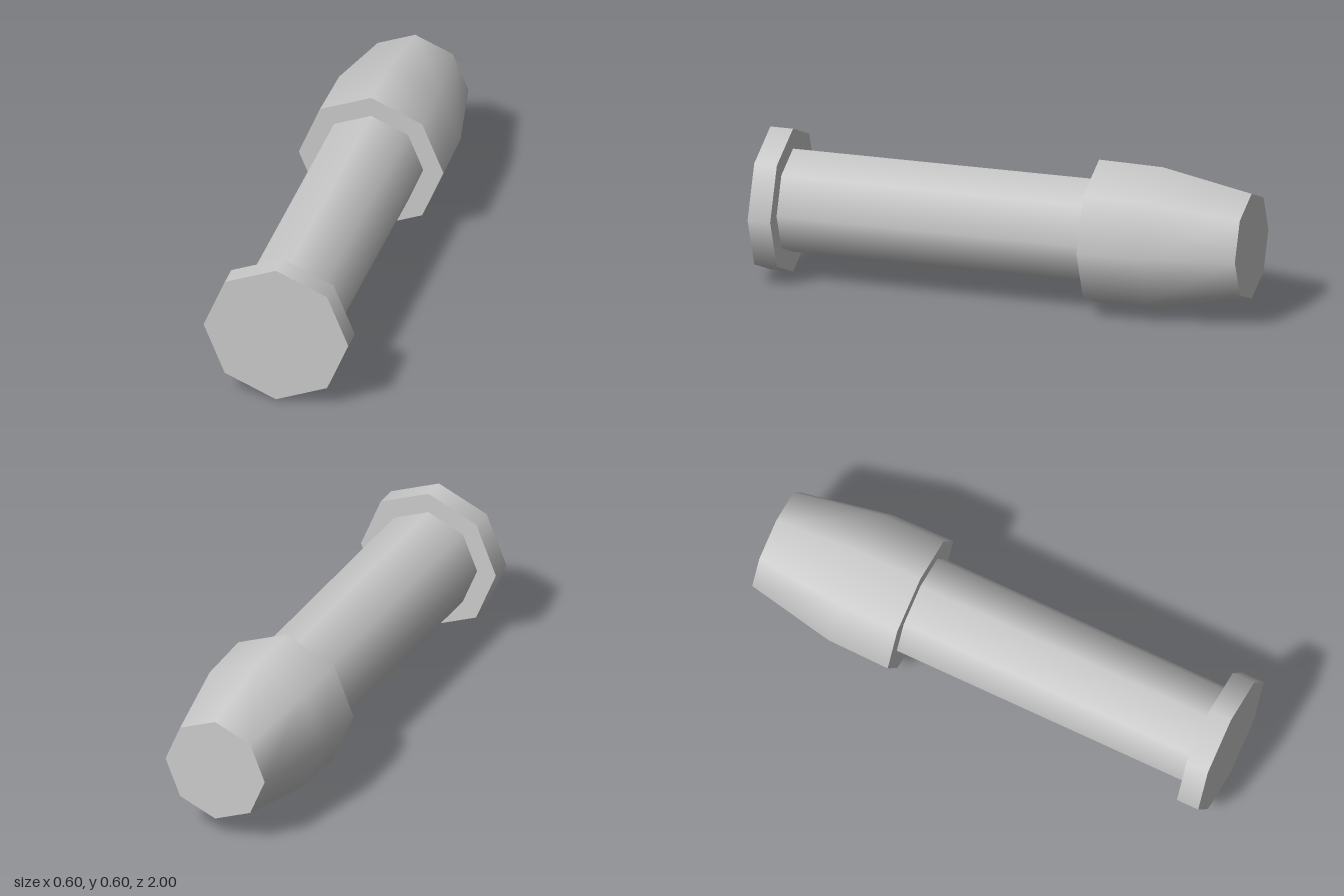
import * as THREE from 'three';

const SIDES = 8;
const AXIS_Y = 0.298; // height of the long axis
const R = 0.298;      // widest radius

export function createModel() {
  const group = new THREE.Group();
  const grey = new THREE.MeshStandardMaterial({ color: 0xcccccc });
  grey.name = 'plainGrey';

  const add = (name, geometry, parent = group) => {
    const mesh = new THREE.Mesh(geometry, grey);
    mesh.name = name;
    parent.add(mesh);
    return mesh;
  };

  // Eight-sided prism lying along z between two depths
  const rod = (name, radius, zFront, zBack) => {
    const geometry = new THREE.CylinderGeometry(radius, radius, zFront - zBack, SIDES);
    geometry.rotateX(-Math.PI / 2);
    add(name, geometry).position.set(0, AXIS_Y, (zFront + zBack) / 2);
  };

  rod('endFlange', R, 1, 0.906);
  rod('shaft', 0.215, 0.906, -0.366);

  // Tapered head: smooth side wall with flat ends
  const head = new THREE.Group();
  head.name = 'taperedHead';
  head.position.y = AXIS_Y;
  group.add(head);

  const profile = [[R, 0.366], [0.293, 0.63], [0.219, 1]].map(([r, d]) => new THREE.Vector2(r, d));
  add('headWall', new THREE.LatheGeometry(profile, SIDES).rotateX(-Math.PI / 2), head);
  add('headShoulder', new THREE.CircleGeometry(R, SIDES), head).position.z = -0.366;
  add('headTip', new THREE.CircleGeometry(0.219, SIDES).rotateY(Math.PI), head).position.z = -1;

  return group;
}
